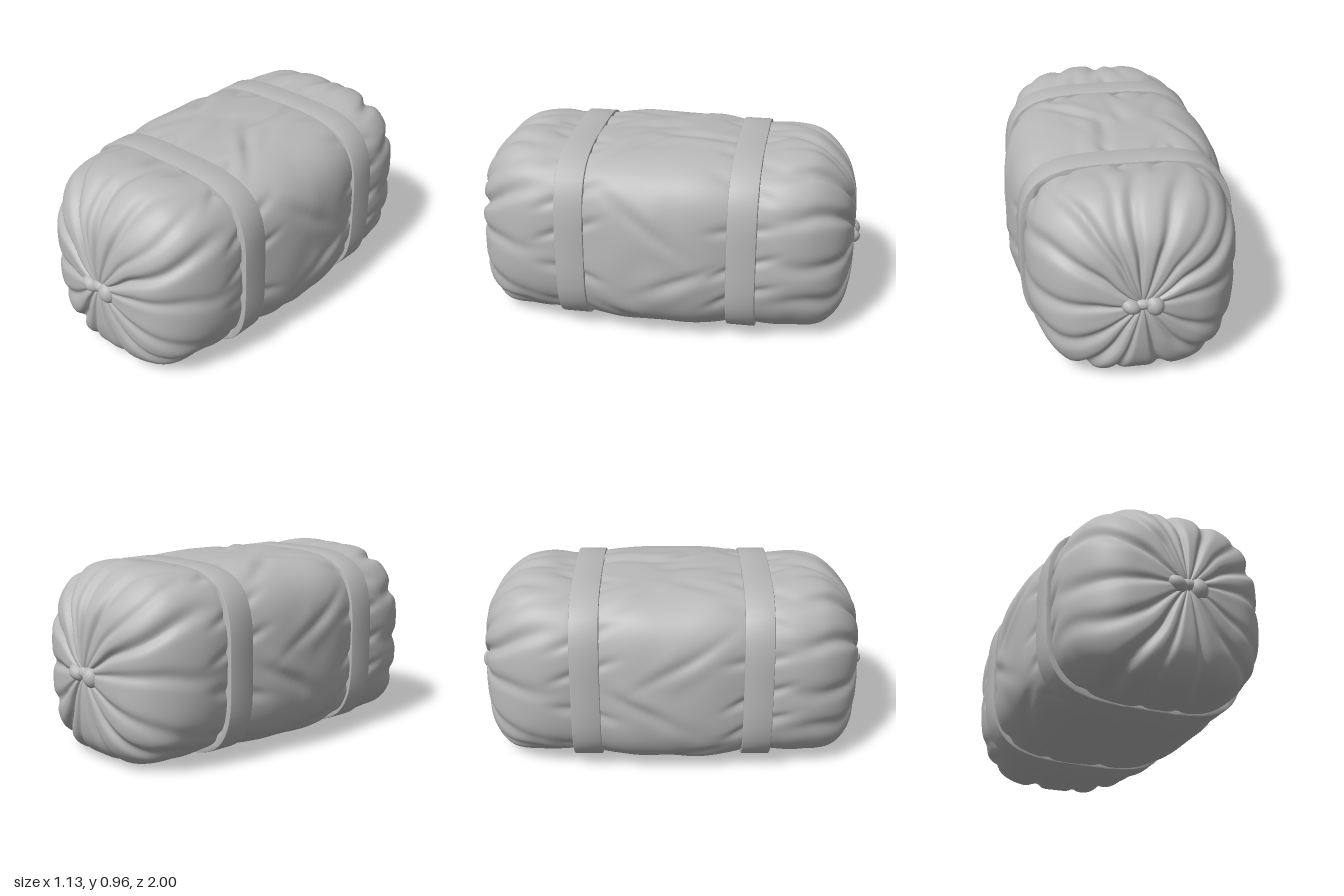
import * as THREE from 'three';
import { toCreasedNormals } from 'three/addons/utils/BufferGeometryUtils.js';

const V = (x, y, z) => new THREE.Vector3(x, y, z);
const gauss = (d, w) => Math.exp(-(d * d) / (w * w));
const smooth = THREE.MathUtils.smoothstep;

// point on a unit squircle; t is the direction in radians
function squircle(t, n) {
  const c = Math.cos(t), s = Math.sin(t);
  const k = Math.pow(Math.abs(c) ** n + Math.abs(s) ** n, -1 / n);
  return [c * k, s * k];
}

// pleats gathered at the knot: [direction in degrees, width, depth]
const PLEATS = [
  [2, .08, .014], [31, .08, .03], [50, .06, .012], [66, .08, .026], [91, .07, .028], [108, .06, .014],
  [125, .07, .034], [150, .08, .028], [180, .09, .018], [209, .08, .02], [238, .08, .034],
  [257, .06, .018], [289, .08, .026], [312, .07, .02], [329, .07, .014],
];

// short tucks beside the straps, in degrees
const TUCKS = [14, 33, 58, 73, 97, 118, 137, 160, 184, 203, 231, 262, 290, 318, 345];

// loose creases on the middle: [direction in degrees, z, slant, half length, depth]
const DRAPES = [
  [96, -.1, -.2, .25, .016], [70, .12, -1.6, .14, .016], [115, .1, .7, .2, .01], [55, -.15, 1.1, .16, .012],
  [20, .05, 1.3, .18, .012], [-12, -.12, -1, .16, .012], [160, .08, -1.2, .18, .012], [195, -.1, .9, .17, .012],
  [222, .12, -.7, .14, .01], [318, .12, .8, .15, .01],
];

// angular distance wrapped to -PI..PI
function turn(t, deg) {
  const d = t - THREE.MathUtils.degToRad(deg);
  return Math.atan2(Math.sin(d), Math.cos(d));
}

// half profile from the middle to the gathered end: (z, half width, half height)
const profile = new THREE.CatmullRomCurve3([
  V(0, .561, .475), V(.2, .55, .475), V(.34, .52, .465), V(.425, .494, .448), V(.52, .506, .464), V(.64, .504, .477),
  V(.74, .478, .462), V(.82, .434, .427), V(.885, .376, .377), V(.928, .305, .32), V(.953, .21, .24),
  V(.966, .13, .14), V(.967, .06, .06), V(.955, .003, .003),
]);

function wrinkle(t, z, az, end) {
  let d = 0;
  // radiating pleats, fading toward the strap
  const fade = smooth(az, .46, .85);
  const face = Math.min(1, end / .2);
  for (const [deg, w, depth] of PLEATS) {
    const bend = .08 * Math.sin(deg * 1.7) * (1 - face) + .07 * Math.sin(az * 9 + deg);
    d -= depth * fade * face * gauss(turn(t, deg) + bend, w);
  }
  d += .006 * fade * face;
  // tucks squeezed by the straps
  const near = gauss(az - .35, .08) + gauss(az - .51, .08);
  for (const deg of TUCKS) d -= .013 * near * gauss(turn(t, deg) + (az - .42) * Math.sin(deg) * .8, .05);
  // slack creases across the middle, each with a soft ridge beside it
  for (const [deg, z0, slant, half, depth] of DRAPES) {
    const off = turn(t, deg) - slant * (z - z0);
    d += depth * gauss(z - z0, half) * (.6 * gauss(off - .13, .1) - gauss(off, .06)) * (1 - smooth(az, .3, .42));
  }
  // soft lumps everywhere
  return d + .003 * face * Math.sin(5 * t + 2 * Math.sin(6 * z)) * Math.sin(9 * z + 3 * t);
}

function bundleGeometry() {
  const rows = 150, cols = 216, pos = [], idx = [];
  for (let i = 0; i <= rows; i++) {
    const u = (i / rows) * 2 - 1, a = Math.abs(u), side = u < 0 ? -1 : 1;
    const p = profile.getPoint(a), q = profile.getTangent(a);
    const len = Math.hypot(q.x, q.y) || 1;
    const nr = q.x / len, nz = -q.y / len;
    // the gather sits slightly below the middle
    const cy = .482 - .03 * smooth(p.x, .75, .96);
    // ends are rounder than the middle
    const n = 2.3 + .7 * smooth(p.y, .1, .45) + .45 * (1 - smooth(p.x, .4, .7));
    // the lower half of each end sags fuller
    const sag = smooth(p.x, .66, .86) * smooth(p.y, .02, .15);
    for (let j = 0; j < cols; j++) {
      const t = (j / cols) * Math.PI * 2;
      const low = sag * smooth(-Math.sin(t), 0, .7);
      const [cx, sy] = squircle(t, n + .5 * low);
      // the back half repeats the front half turned around
      const back = smooth(-side * p.x, -.12, .12);
      const d = (1 - back) * wrinkle(t, p.x * side, p.x, p.y) + back * wrinkle(Math.PI - t, p.x * side, p.x, p.y);
      const y = cy + sy * p.z * (1 + .07 * low) + Math.sin(t) * d * nr;
      pos.push(cx * p.y + Math.cos(t) * d * nr, Math.max(.003, y), side * (p.x + d * nz));
    }
  }
  for (let i = 0; i < rows; i++) {
    for (let j = 0; j < cols; j++) {
      const k = (j + 1) % cols, a = i * cols + j, b = i * cols + k;
      idx.push(a, b, a + cols, b, b + cols, a + cols);
    }
  }
  const g = new THREE.BufferGeometry();
  g.setAttribute('position', new THREE.Float32BufferAttribute(pos, 3));
  g.setIndex(idx);
  g.computeVertexNormals();
  return g;
}

// flat band with a squircle outline
function strapGeometry() {
  const loop = (w, h) => Array.from({ length: 96 }, (_, i) => {
    const [x, y] = squircle((i / 96) * Math.PI * 2, 3.7);
    return new THREE.Vector2(x * w, y * h);
  });
  const shape = new THREE.Shape(loop(.521, .463));
  shape.holes.push(new THREE.Path(loop(.488, .436)));
  const g = new THREE.ExtrudeGeometry(shape, {
    depth: .133, bevelEnabled: true, bevelSize: .006, bevelThickness: .006, bevelSegments: 2,
  });
  g.translate(0, 0, -.0665);
  return toCreasedNormals(g, .6);
}

export function createModel() {
  const model = new THREE.Group();
  model.name = 'tiedBedroll';
  const cloth = new THREE.MeshStandardMaterial({ color: 0xb8b8b8 });
  cloth.name = 'greyCloth';

  const add = (name, geometry, parent = model) => {
    const m = new THREE.Mesh(geometry, cloth);
    m.name = name;
    parent.add(m);
    return m;
  };

  add('bundle', bundleGeometry());

  const strap = strapGeometry();
  const ball = new THREE.SphereGeometry(1, 24, 16);
  // knot lobes: x, y, half sizes, tilt
  const lobes = [
    [-.055, -.002, .052, .038, .05, -.5], [.055, -.008, .046, .054, .05, .35], [0, .004, .05, .03, .034, 0],
  ];
  for (const s of [1, -1]) {
    add(s > 0 ? 'frontStrap' : 'backStrap', strap).position.set(0, .481, s * .427);

    // knot of two lobes joined by a small bridge
    const knot = new THREE.Group();
    knot.name = s > 0 ? 'frontKnot' : 'backKnot';
    knot.position.set(0, .452, s * .95);
    if (s < 0) knot.rotation.y = Math.PI;
    model.add(knot);
    for (const [x, y, rx, ry, rz, tilt] of lobes) {
      const lobe = add('knotLobe', ball, knot);
      lobe.position.set(x, y, 0);
      lobe.scale.set(rx, ry, rz);
      lobe.rotation.z = tilt;
    }
  }
  return model;
}
